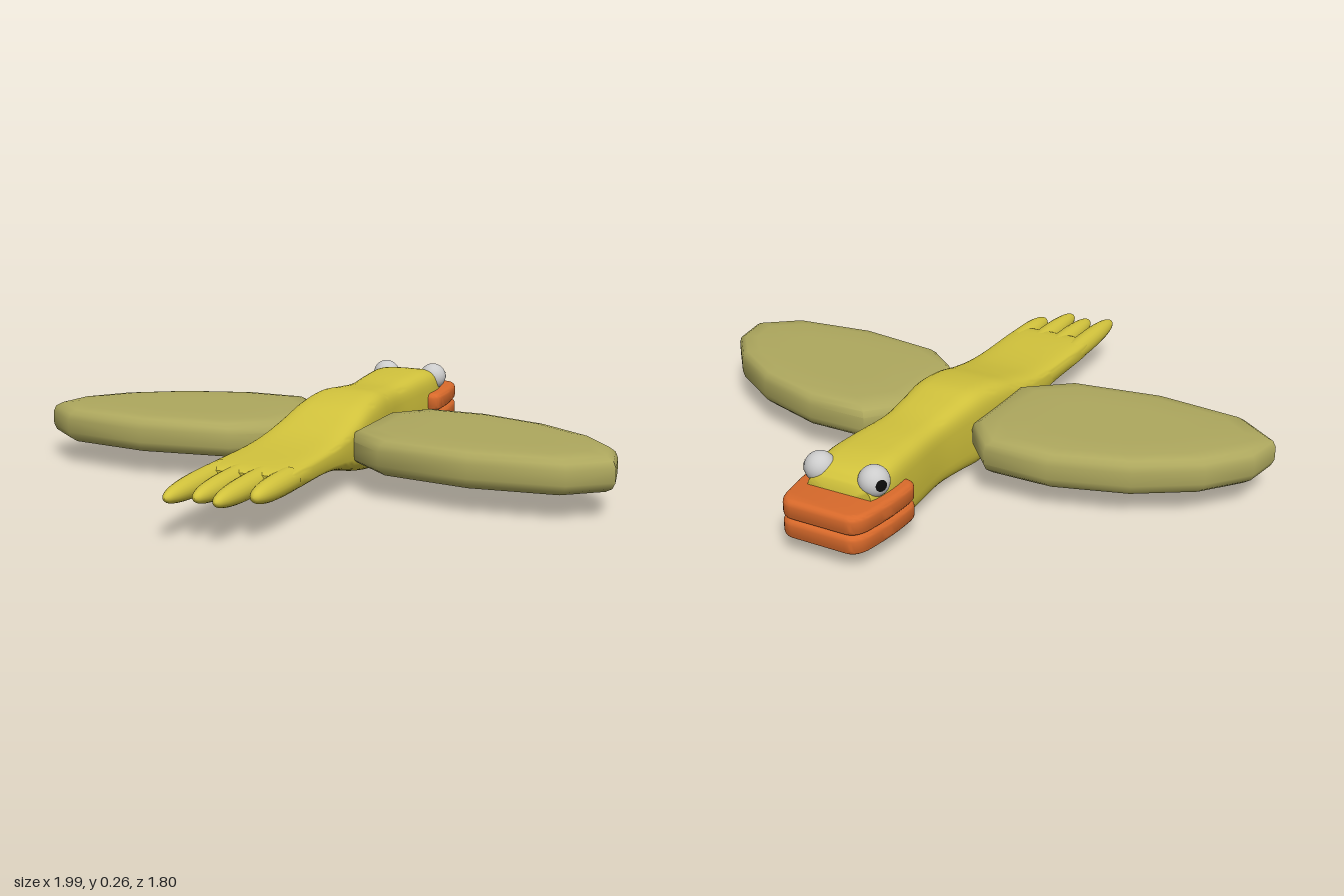
import * as THREE from 'three';
import { toCreasedNormals } from 'three/addons/utils/BufferGeometryUtils.js';

const mat = (color) => new THREE.MeshStandardMaterial({ color });

// Skin a list of closed rings (arrays of Vector3) and close both ends
function loft(rings, crease = 0.9) {
  const n = rings[0].length, pos = [], idx = [];
  const center = (r) => r.reduce((s, p) => s.add(p), new THREE.Vector3()).divideScalar(n);
  rings.forEach((r) => r.forEach((p) => pos.push(p.x, p.y, p.z)));
  const last = (rings.length - 1) * n, c0 = rings.length * n, c1 = c0 + 1;
  for (const r of [rings[0], rings[rings.length - 1]]) pos.push(...center(r).toArray());
  for (let j = 0; j < n; j++) {
    const k = (j + 1) % n;
    for (let i = 0; i < last; i += n) {
      idx.push(i + j, i + k, i + n + k, i + j, i + n + k, i + n + j);
    }
    idx.push(c0, k, j, c1, last + j, last + k);
  }
  const g = new THREE.BufferGeometry();
  g.setAttribute('position', new THREE.Float32BufferAttribute(pos, 3));
  g.setIndex(idx);
  return toCreasedNormals(g, crease);
}

// Body: rounded-box sections along z [z, half width, bottom, top]
function bodyGeometry() {
  const stations = [
    [-0.79, 0.11, 0.07, 0.21], [-0.76, 0.118, 0.04, 0.235], [-0.68, 0.126, 0.014, 0.252],
    [-0.55, 0.12, 0.014, 0.252], [-0.38, 0.11, 0.018, 0.246], [-0.25, 0.12, 0.009, 0.256],
    [-0.15, 0.131, 0, 0.264], [-0.02, 0.139, 0.018, 0.248], [0.1, 0.143, 0.046, 0.216],
    [0.23, 0.145, 0.078, 0.188], [0.35, 0.145, 0.093, 0.176], [0.62, 0.146, 0.1, 0.168],
    [0.645, 0.14, 0.108, 0.16],
  ];
  const curve = (f) => new THREE.CatmullRomCurve3(stations.map(f));
  const low = curve((s) => new THREE.Vector3(s[1], s[2], s[0]));
  const high = curve((s) => new THREE.Vector3(s[1], s[3], s[0]));
  const sq = (v) => Math.sign(v) * Math.pow(Math.abs(v), 0.45);
  const rings = [];
  for (let i = 0; i <= 60; i++) {
    const a = low.getPoint(i / 60), b = high.getPoint(i / 60), ring = [];
    for (let j = 0; j < 40; j++) {
      const t = (j / 40) * Math.PI * 2;
      ring.push(new THREE.Vector3(0.006 + a.x * sq(Math.cos(t)),
        (a.y + b.y) / 2 + ((b.y - a.y) / 2) * sq(Math.sin(t)), a.z));
    }
    rings.push(ring);
  }
  return loft(rings);
}

// Wing: flat cushion made by insetting one outline (x, z)
function wingGeometry() {
  const outline = [
    [0.125, -0.19], [0.23, -0.31], [0.44, -0.308], [0.68, -0.23], [0.865, -0.11], [0.972, 0.02],
    [0.995, 0.15], [0.87, 0.25], [0.575, 0.285], [0.27, 0.24], [0.125, 0.12],
  ];
  const half = [[0.5, 0.062], [0.8, 0.061], [0.93, 0.055], [0.98, 0.042], [1, 0.022]];
  const layers = [...half, ...half.map(([s, h]) => [s, -h]).reverse()];
  const cx = 0.55, cz = -0.01;
  return loft(layers.map(([s, h]) => outline.map(([x, z]) =>
    new THREE.Vector3(cx + (x - cx) * s, 0.137 + h, cz + (z - cz) * s))));
}

// One bevelled half of the bill, lying flat with its tip towards -z
function billGeometry() {
  const bevel = 0.018, s = new THREE.Shape();
  s.moveTo(-0.13, 0.63);
  s.lineTo(0.13, 0.63);
  s.quadraticCurveTo(0.145, 0.63, 0.145, 0.66);
  s.bezierCurveTo(0.145, 0.74, 0.138, 0.78, 0.128, 0.84);
  s.quadraticCurveTo(0.12, 0.887, 0.09, 0.887);
  s.lineTo(-0.09, 0.887);
  s.quadraticCurveTo(-0.12, 0.887, -0.128, 0.84);
  s.bezierCurveTo(-0.138, 0.78, -0.145, 0.74, -0.145, 0.66);
  s.quadraticCurveTo(-0.145, 0.63, -0.13, 0.63);
  const g = new THREE.ExtrudeGeometry(s, {
    depth: 0.063 - 2 * bevel, bevelSize: bevel, bevelThickness: bevel, bevelSegments: 4, curveSegments: 8,
  });
  g.rotateX(-Math.PI / 2);
  g.translate(0.007, bevel, 0);
  return toCreasedNormals(g, 0.7);
}

// Tail feather: tapered finger with a rounded tip, pointing along +z
function featherGeometry(length) {
  const pts = [[0.037, 0], [0.037, 0.3], [0.034, 0.6], [0.027, 0.82], [0.018, 0.94], [0.009, 0.985], [0, 1]]
    .map(([r, t]) => new THREE.Vector2(r, t * length));
  const smooth = new THREE.SplineCurve(pts).getPoints(24);
  smooth.forEach((p) => { p.x = Math.max(0, p.x); });
  return new THREE.LatheGeometry(smooth, 20).rotateX(Math.PI / 2);
}

export function createModel() {
  const model = new THREE.Group();
  const yellow = mat(0xd2c33c), olive = mat(0xaea85e), orange = mat(0xd96a2b);
  const white = mat(0xcccccc), black = mat(0x0a0a0a);
  const add = (name, geometry, material, x = 0, y = 0, z = 0, parent = model) => {
    const m = new THREE.Mesh(geometry, material);
    m.name = name;
    m.position.set(x, y, z);
    parent.add(m);
    return m;
  };

  add('body', bodyGeometry(), yellow);

  // Four tail feathers [x, tip z]
  [[-0.106, 0.9], [-0.03, 0.865], [0.045, 0.885], [0.119, 0.797]].forEach(([x, tip], i) =>
    add('tailFeather' + (i + 1), featherGeometry(tip - 0.56), yellow, x, 0.134, 0.56));

  // Wings, the second mirrored and set slightly back
  const wing = wingGeometry();
  add('leftWing', wing, olive);
  add('rightWing', wing, olive, 0.015, 0, -0.02).scale.x = -1.02;

  // Bill halves
  const bill = billGeometry();
  add('upperBill', bill, orange, 0, 0.112, 0);
  add('lowerBill', bill, orange, 0, 0.05, 0);

  // Eyes with pupils looking outwards and back
  for (const side of [1, -1]) {
    const eye = new THREE.Group();
    eye.name = side > 0 ? 'leftEye' : 'rightEye';
    eye.position.set(0.006 + side * 0.093, 0.217, -0.745);
    add('eyeball', new THREE.SphereGeometry(0.048, 28, 20), white, 0, 0, 0, eye);
    const pupil = add('pupil', new THREE.SphereGeometry(0.049, 20, 6, 0, Math.PI * 2, 0, 0.38), black, 0, 0, 0, eye);
    pupil.quaternion.setFromUnitVectors(new THREE.Vector3(0, 1, 0),
      new THREE.Vector3(side * 0.85, 0.08, -0.5).normalize());
    model.add(eye);
  }
  return model;
}
